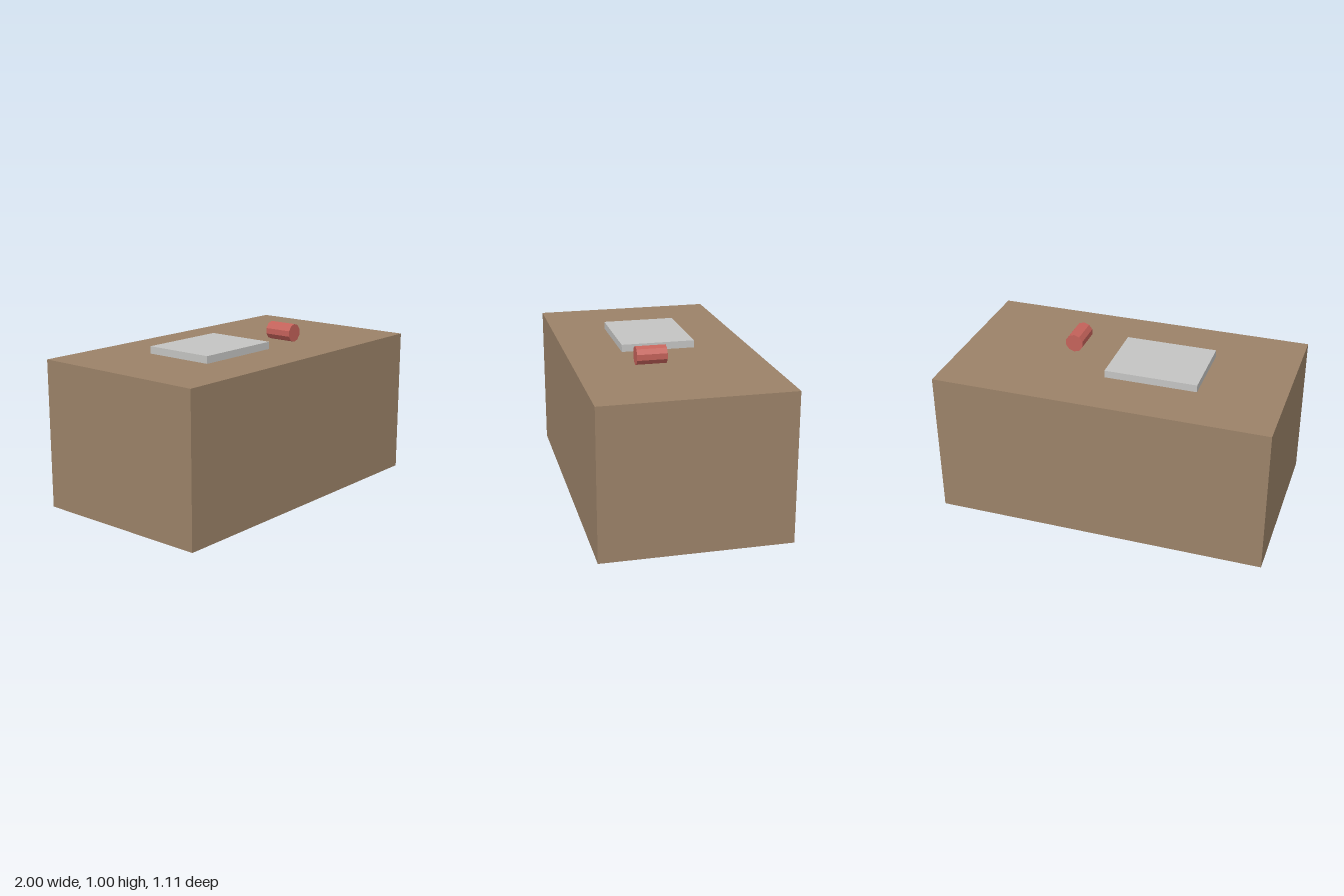
import * as THREE from 'three';

export function createModel() {
  const group = new THREE.Group();
  const material = (name, color) => {
    const m = new THREE.MeshStandardMaterial({ color, flatShading: true });
    m.name = name;
    return m;
  };
  const add = (name, geometry, mat, x, y, z) => {
    const mesh = new THREE.Mesh(geometry, mat);
    mesh.name = name;
    mesh.position.set(x, y, z);
    group.add(mesh);
  };

  const deskHeight = 0.889;
  const slabHeight = 0.044;
  const rollRadius = 0.0556;

  // Solid block desk
  add('desk', new THREE.BoxGeometry(2, deskHeight, 1.111),
    material('wood brown', 0x9b8268), 0, deskHeight / 2, 0);

  // Flat slab lying on the desk top
  add('slab', new THREE.BoxGeometry(0.556, slabHeight, 0.444),
    material('pale grey', 0xc4c4c2), -0.222, deskHeight + slabHeight / 2, 0);

  // Ten-sided roll lying along z, resting on its lower edge
  add('roll', new THREE.CylinderGeometry(rollRadius, rollRadius, 0.178, 10).rotateX(Math.PI / 2),
    material('soft red', 0xc4625a), 0.333, deskHeight + rollRadius, 0.111);

  return group;
}
